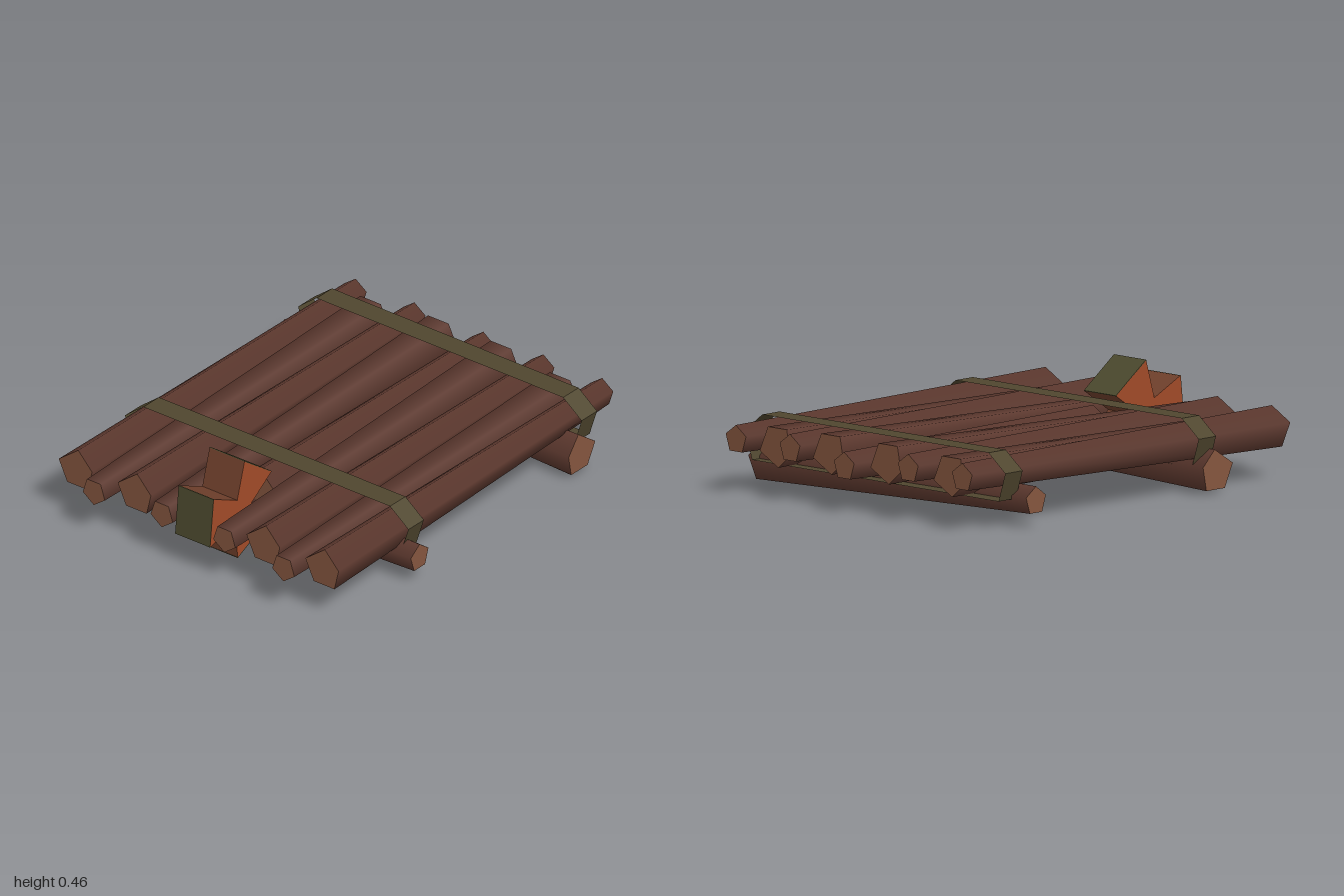
import * as THREE from 'three';

const mat = (name, color, side = THREE.FrontSide) => {
  const m = new THREE.MeshStandardMaterial({ color, side });
  m.name = name;
  return m;
};

const BIG = 0.095, SMALL = 0.063;

// Tapered five-sided log along x from x0 to x1; centre height runs from y0 to y1.
// The thick end is cut slightly wedge-shaped.
function logGeometry(x0, x1, bigAtStart, y0, y1, pointUp) {
  const len = x1 - x0;
  const g = new THREE.CylinderGeometry(bigAtStart ? SMALL : BIG, bigAtStart ? BIG : SMALL,
    len, 5, 1, false, pointUp ? -Math.PI / 2 : Math.PI / 2);
  g.rotateZ(-Math.PI / 2);
  const p = g.attributes.position;
  for (let i = 0; i < p.count; i++) {
    const t = p.getX(i) / len + 0.5, y = p.getY(i);
    const bigEnd = bigAtStart ? t < 0.5 : t > 0.5;
    const cut = bigEnd ? 0.028 * Math.abs(y) / BIG * (bigAtStart ? 1 : -1) : 0;
    p.setX(i, x0 + t * len + cut);
    p.setY(i, y + y0 + (y1 - y0) * t);
  }
  g.computeBoundingSphere();
  return g;
}

// Closed flat band: an outline of [z, y] points swept across a width in x
function bandGeometry(points, x0, x1) {
  const v = [];
  points.forEach(([za, ya], i) => {
    const [zb, yb] = points[(i + 1) % points.length];
    v.push(x0, ya, za, x0, yb, zb, x1, yb, zb, x0, ya, za, x1, yb, zb, x1, ya, za);
  });
  const g = new THREE.BufferGeometry();
  g.setAttribute('position', new THREE.Float32BufferAttribute(v, 3));
  g.computeVertexNormals();
  return g;
}

export function createModel() {
  const raft = new THREE.Group();
  raft.name = 'raft';
  const bark = mat('bark', 0x5c382e), cutWood = mat('cutWood', 0x84553e);
  const strapMat = mat('strapOlive', 0x4f462e, THREE.DoubleSide);
  const rust = mat('rust', 0xa04a28), brown = mat('rustBrown', 0x70402c);
  const moss = mat('moss', 0x4c4a2e);
  const add = (name, geo, material, parent = raft) => {
    const m = new THREE.Mesh(geo, material);
    m.name = name;
    parent.add(m);
    return m;
  };
  const wood = [bark, cutWood, cutWood];

  // Deck logs: [z, x0, x1, thick end at start, y0, y1], mirrored front to back
  const deck = [
    [0.67, -0.94, 0.97, true, 0.221, 0.24],
    [0.515, -1.0, 0.9, false, 0.207, 0.22],
    [0.35, -0.94, 0.97, true, 0.221, 0.24],
    [0.17, -0.97, 0.93, false, 0.21, 0.236],
    [0, -0.54, 1.0, true, 0.19, 0.21],
  ];
  for (const [z, x0, x1, big, y0, y1] of deck) {
    for (const s of z ? [1, -1] : [1]) {
      add('deckLog', logGeometry(x0, x1, big, y0, y1, big), wood).position.z = s * z;
    }
  }

  // Cross logs underneath, tapering in opposite directions
  const cross = [
    [-0.45, -0.81, 0.815, true, 0.102, 0.122],
    [0.675, -0.82, 0.805, false, 0.122, 0.104],
  ];
  for (const [x, z0, z1, big, y0, y1] of cross) {
    const g = logGeometry(z0, z1, big, y0, y1, true);
    g.rotateY(-Math.PI / 2);
    add('crossLog', g, wood).position.x = x;
  }

  // Straps looped around the deck
  const outline = [[-0.67, 0.328], [-0.77, 0.25], [-0.73, 0.125],
    [0.73, 0.125], [0.77, 0.25], [0.67, 0.328]];
  for (const [x0, x1] of [[-0.47, -0.365], [0.705, 0.81]]) {
    add('strap', bandGeometry(outline, x0, x1), strapMat);
  }

  // Three-bladed paddle wheel with flared blades
  const wheel = new THREE.Group();
  wheel.name = 'paddleWheel';
  wheel.position.set(-0.763, 0.236, 0);
  raft.add(wheel);
  const R = 0.197, half = 0.113, valley = 0.062, width = 0.19;
  const corners = [];
  const angles = [0, 1, 2].map((i) => THREE.MathUtils.degToRad(54 + 120 * i));
  for (const a of angles) {
    const c = Math.cos(a), s = Math.sin(a);
    for (const h of [-half, half]) corners.push(new THREE.Vector2(c * R - s * h, s * R + c * h));
    corners.push(new THREE.Vector2(Math.cos(a + Math.PI / 3) * valley, Math.sin(a + Math.PI / 3) * valley));
  }
  const body = new THREE.ExtrudeGeometry(new THREE.Shape(corners), { depth: width, bevelEnabled: false });
  body.translate(0, 0, -width / 2);
  add('wheelBody', body, [rust, brown], wheel);
  for (const a of angles) {
    const plate = add('bladeFace', new THREE.BoxGeometry(0.004, half * 2, width), moss, wheel);
    plate.position.set(Math.cos(a) * R, Math.sin(a) * R, 0);
    plate.rotation.z = a;
  }
  return raft;
}
